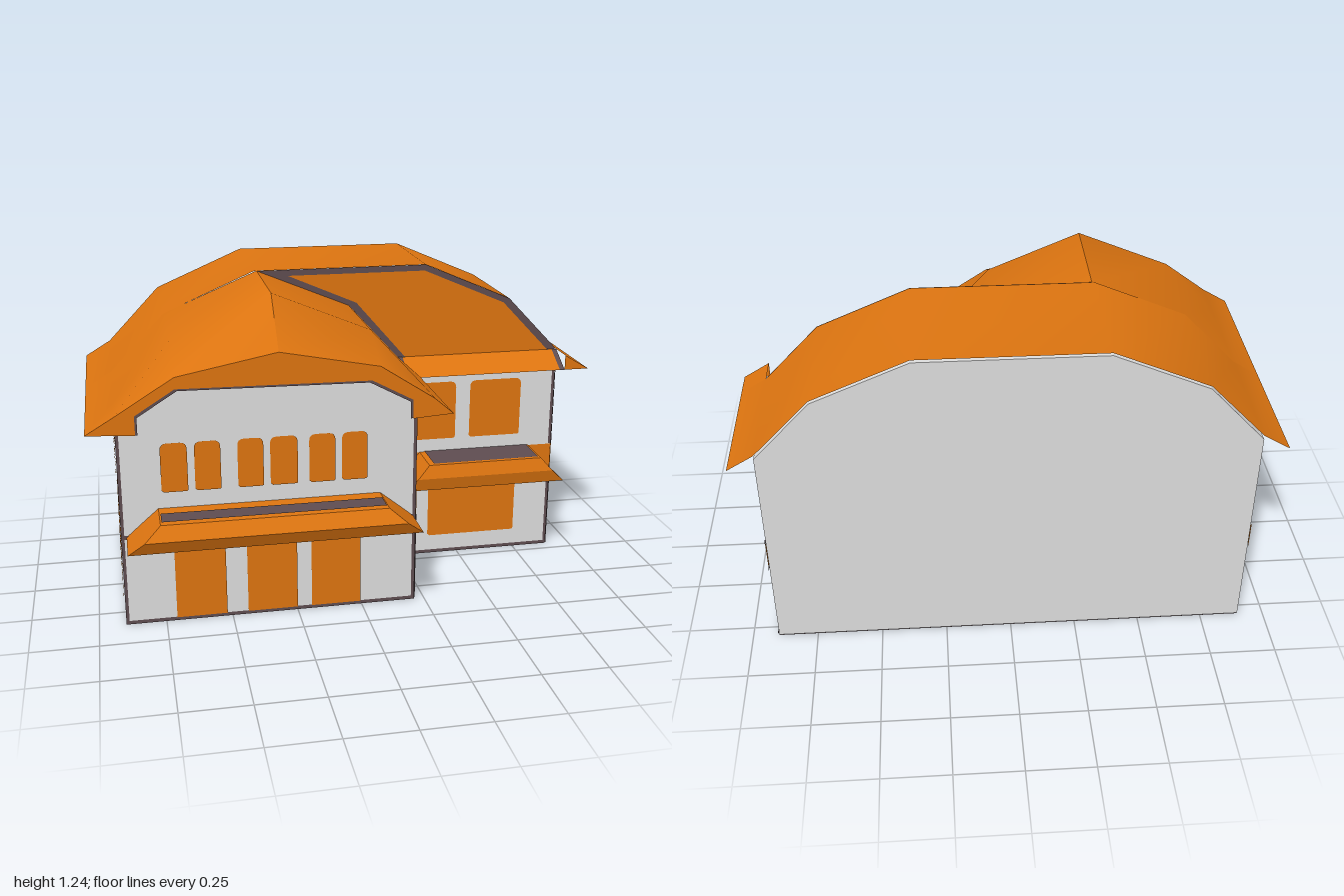
import * as THREE from 'three';

const mat = (name, color) => {
  const m = new THREE.MeshStandardMaterial({ color, side: THREE.DoubleSide });
  m.name = name;
  return m;
};

export function createModel() {
  const model = new THREE.Group();
  model.name = 'house';
  const wallMat = mat('pale wall', 0xdcdcdc);
  const orange = mat('orange', 0xdc7410);
  const dark = mat('dark trim', 0x5e4c50);

  const add = (name, geo, material, parent = model) => {
    const mesh = new THREE.Mesh(geo, material);
    mesh.name = name;
    parent.add(mesh);
    return mesh;
  };
  const poly = (pts) => new THREE.Shape(pts.map(([x, y]) => new THREE.Vector2(x, y)));

  // Surface joining rows of points, running left to right
  const loft = (rows, flat = false) => {
    const n = rows[0].length, index = [];
    for (let i = 0; i < rows.length - 1; i++) {
      for (let j = 0; j < n - 1; j++) {
        const a = i * n + j, c = a + n;
        index.push(a, c, a + 1, a + 1, c, c + 1);
      }
    }
    let g = new THREE.BufferGeometry();
    g.setAttribute('position', new THREE.Float32BufferAttribute(rows.flat(2), 3));
    g.setIndex(index);
    if (flat) g = g.toNonIndexed();
    g.computeVertexNormals();
    return g;
  };
  const atZ = (pts, z) => pts.map(([x, y]) => [x, y, z]);

  // Flat polygon facing +z
  const plate = (name, pts, z, material) => {
    add(name, new THREE.ShapeGeometry(poly(pts)), material).position.z = z;
  };

  // Walls: u is measured along x on the front, along z on the sides
  const walls = {
    wingFront: { angle: 0, pos: 0.35 },
    mainFront: { angle: 0, pos: -0.055 },
    mainRight: { angle: Math.PI / 2, pos: 0.9 },
    wingRight: { angle: Math.PI / 2, pos: 0.21 },
    left: { angle: -Math.PI / 2, pos: 0.9 },
  };

  // Thin panel on a wall, with upper and lower corner radii
  const panel = (name, wall, u0, u1, y0, y1, material, off = 0.003, rt = 0, rb = 0) => {
    const { angle, pos } = walls[wall];
    const [a, b] = angle > 0 ? [-u0, -u1] : [u0, u1];
    const x0 = Math.min(a, b), x1 = Math.max(a, b);
    const s = new THREE.Shape();
    s.moveTo(x0 + rb, y0);
    s.lineTo(x1 - rb, y0);
    s.quadraticCurveTo(x1, y0, x1, y0 + rb);
    s.lineTo(x1, y1 - rt);
    s.quadraticCurveTo(x1, y1, x1 - rt, y1);
    s.lineTo(x0 + rt, y1);
    s.quadraticCurveTo(x0, y1, x0, y1 - rt);
    s.lineTo(x0, y0 + rb);
    const m = add(name, new THREE.ShapeGeometry(s, 4), material);
    m.rotation.y = angle;
    m.position.set(Math.sin(angle) * (pos + off), 0, Math.cos(angle) * (pos + off));
    if (angle !== 0) m.position.z = 0;
  };

  // Main block and front wing
  const block = (name, pts, z0, z1) => {
    const g = new THREE.ExtrudeGeometry(poly(pts), { depth: z1 - z0, bevelEnabled: false });
    add(name, g, wallMat).position.z = z0;
  };
  block('mainWalls', [[-0.9, 0.003], [0.9, 0.003], [0.9, 0.855], [0.69, 1.08], [0.34, 1.23],
    [-0.34, 1.23], [-0.69, 1.08], [-0.9, 0.855]], -0.545, -0.06);
  block('mainFrontWall', [[0, 0.003], [0.9, 0.003], [0.9, 0.86], [0, 0.86]], -0.06, -0.055);
  block('wingWalls', [[-0.9, 0.003], [0.21, 0.003], [0.21, 0.87], [0.04, 1.07], [-0.33, 1.22],
    [-0.69, 1.07], [-0.9, 0.855]], -0.1, 0.35);

  // Dark floor
  const floor = new THREE.ShapeGeometry(poly([[-0.9, -0.35], [0.21, -0.35], [0.21, 0.055],
    [0.9, 0.055], [0.9, 0.545], [-0.9, 0.545]]));
  add('floor', floor.rotateX(-Math.PI / 2), dark);

  // Main roof, with its front eave corner
  const mainProfile = [[-1, 0.81], [-0.9, 0.87], [-0.69, 1.09], [-0.34, 1.24], [0.34, 1.24],
    [0.69, 1.09], [0.9, 0.87], [1, 0.81]];
  add('mainRoof', loft([atZ(mainProfile, -0.545), atZ(mainProfile, -0.055)]), orange);
  const eave = mainProfile.slice(-2);
  add('eaveCorner', loft([atZ(eave, -0.055), atZ(eave, 0.055)]), orange);
  plate('eaveCornerFront', [[0.9, 0.81], [1, 0.81], [0.9, 0.87]], 0.054, orange);

  // Wing roof with clipped front, split at the ridge
  const wing = [[-1, 0.81], [-0.9, 0.87], [-0.69, 1.09], [-0.33, 1.24], [0.03, 1.09], [0.23, 0.87], [0.3, 0.81]];
  const clipped = [[-1, 0.81], [-0.9, 0.87], [-0.69, 1.0], [-0.33, 1.07], [0.03, 1.0], [0.23, 0.87], [0.3, 0.81]];
  [[0, 4, 'wingRoofLeft'], [3, 7, 'wingRoofRight']].forEach(([a, b, name]) => {
    const w = wing.slice(a, b), f = clipped.slice(a, b);
    add(name, loft([atZ(w, -0.058), atZ(w, 0.35), atZ(f, 0.52)]), orange);
  });

  // Front board under the clipped roof, edged in dark trim
  const opening = [[0.15, 0.8], [0.15, 0.87], [0, 0.95], [-0.69, 0.958], [-0.83, 0.87], [-0.83, 0.8]];
  plate('wingFascia', [...clipped, ...opening], 0.52, orange);
  plate('wingFasciaTrim', [...clipped, ...opening.map(([x, y]) =>
    [x + (x > -0.3 ? -0.008 : 0.008), y > 0.81 ? y - 0.008 : y])], 0.516, dark);

  // Gable face of the main roof
  plate('gableTrim', [[-0.33, 1.24], [0.34, 1.24], [0.69, 1.09], [0.9, 0.87], [0.22, 0.87], [0.02, 1.09]],
    -0.053, dark);
  plate('gableFace', [[-0.21, 1.217], [0.335, 1.217], [0.665, 1.075], [0.86, 0.87], [0.26, 0.87], [0.06, 1.1]],
    -0.05, orange);

  // Small sloping roof below the gable, dark at both ends
  [[0.25, 0.88, orange], [0.22, 0.25, dark], [0.88, 0.9, dark]].forEach(([x0, x1, m]) => {
    add('lowerGableRoof', loft([[[x0, 0.87, -0.05], [x1, 0.87, -0.05]],
      [[x0, 0.81, 0.055], [x1, 0.81, 0.055]]], true), m);
  });

  // Awnings: sloping ends and a front edge that juts out at mid height
  const awning = (name, back, top, mid, bottom, inset) => {
    const g = new THREE.Group();
    g.name = name;
    model.add(g);
    const ring = ([x0, x1, y, z]) => [[x0, y, back], [x0, y, z], [x1, y, z], [x1, y, back]];
    const flat = ([x0, x1, y, z], z0 = back) =>
      loft([[[x0, y, z0], [x1, y, z0]], [[x0, y, z], [x1, y, z]]], true);
    add('awningSides', loft([ring(top), ring(mid), ring(bottom)], true), orange, g);
    add('awningTop', flat(top), orange, g);
    add('awningUnderside', flat(bottom), dark, g);
    add('awningInset', flat([inset[0], inset[1], top[2] + 0.004, inset[3]], inset[2]), dark, g);
  };
  awning('wingAwning', 0.35, [-0.76, 0.07, 0.457, 0.51], [-0.82, 0.135, 0.405, 0.545],
    [-0.88, 0.2, 0.352, 0.515], [-0.755, 0.065, 0.41, 0.49]);
  awning('mainAwning', -0.055, [0.33, 0.8, 0.457, 0.107], [0.28, 0.845, 0.405, 0.125],
    [0.22, 0.9, 0.352, 0.11], [0.35, 0.79, -0.05, 0.1]);

  // Orange bands between the storeys
  [['mainFront', 0.215, 0.9], ['mainRight', -0.545, -0.055], ['wingRight', -0.055, 0.35],
    ['left', -0.545, 0.35]].forEach(([w, a, b]) => panel('storeyBand', w, a, b, 0.355, 0.457, orange));

  // Dark strips along corners, floors and eaves
  [
    ['wingFront', -0.9, 0.21, 0, 0.014], ['wingFront', -0.9, 0.21, 0.345, 0.36],
    ['wingFront', -0.9, -0.888, 0, 0.81], ['wingFront', 0.197, 0.21, 0, 0.81],
    ['mainFront', 0.21, 0.9, 0, 0.014], ['mainFront', 0.21, 0.9, 0.342, 0.355],
    ['mainFront', 0.21, 0.235, 0, 0.342], ['mainFront', 0.21, 0.235, 0.46, 0.81],
    ['mainFront', 0.888, 0.9, 0, 0.342], ['mainFront', 0.888, 0.9, 0.46, 0.81],
    ['mainFront', 0.21, 0.9, 0.79, 0.82],
    ['mainRight', -0.545, -0.055, 0, 0.016], ['mainRight', -0.545, -0.055, 0.335, 0.355],
    ['mainRight', -0.545, -0.055, 0.457, 0.478], ['mainRight', -0.07, -0.055, 0, 0.355],
    ['mainRight', -0.06, -0.055, 0.478, 0.81],
    ['wingRight', -0.055, 0.35, 0, 0.016], ['wingRight', -0.055, 0.35, 0.338, 0.355],
    ['wingRight', 0.336, 0.35, 0, 0.355], ['wingRight', -0.055, 0.35, 0.79, 0.81],
  ].forEach(([w, a, b, y0, y1]) => panel('trimStrip', w, a, b, y0, y1, dark, 0.004));

  // Doors
  const doors = (wall, spans) => spans.forEach(([a, b]) =>
    panel('door', wall, a, b, 0.012, 0.29, orange, 0.005, 0.012));
  doors('wingFront', [[-0.71, -0.52], [-0.44, -0.25], [-0.195, -0.005]]);
  doors('left', [[-0.35, -0.18], [-0.14, 0.03], [0.07, 0.21]]);

  // Windows
  const windows = (wall, y0, y1, r, spans) => spans.forEach(([a, b]) =>
    panel('window', wall, a, b, y0, y1, orange, 0.005, r, 0.008));
  windows('wingFront', 0.52, 0.708, 0.025, [[-0.745, -0.648], [-0.622, -0.527], [-0.465, -0.37],
    [-0.345, -0.243], [-0.2, -0.102], [-0.077, 0.02]]);
  windows('left', 0.52, 0.7, 0.02, [[-0.35, -0.29], [-0.26, -0.18], [-0.13, -0.07],
    [-0.055, 0.01], [0.07, 0.12], [0.145, 0.21]]);
  windows('mainFront', 0.08, 0.305, 0.012, [[0.37, 0.748]]);
  windows('mainFront', 0.512, 0.755, 0.025, [[0.293, 0.478], [0.538, 0.755]]);
  windows('mainRight', 0.08, 0.303, 0.012, [[-0.435, -0.17]]);
  windows('mainRight', 0.545, 0.763, 0.035, [[-0.478, -0.333], [-0.29, -0.143]]);
  windows('wingRight', 0.08, 0.303, 0.012, [[0.04, 0.257]]);
  windows('wingRight', 0.54, 0.758, 0.025, [[0.163, 0.28], [0.02, 0.132]]);

  return model;
}
